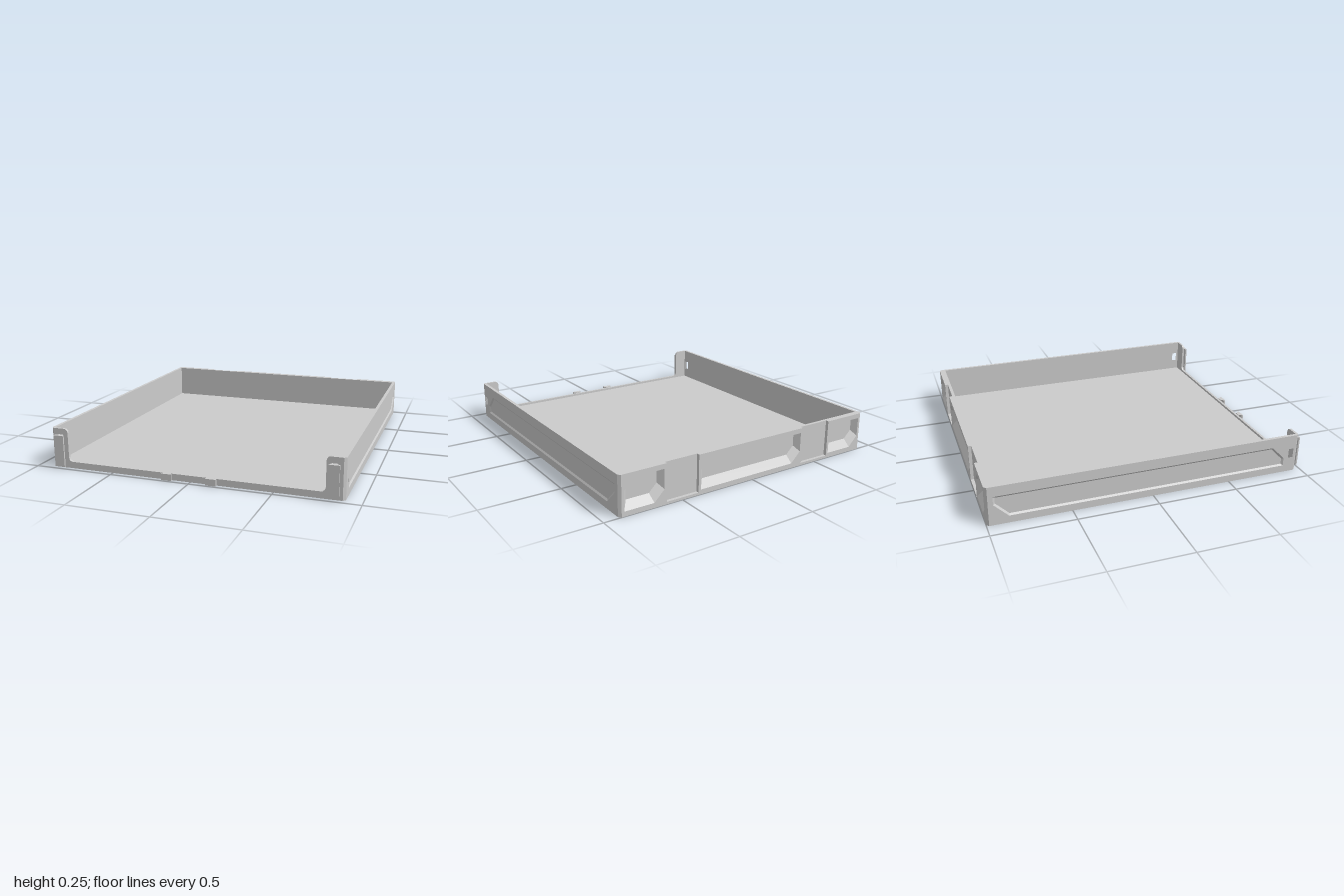
import * as THREE from 'three';

const W = 0.905, H = 0.245, C = 0.015;   // half width, wall height, corner chamfer
const BACK = -1, FRONT = 0.97;

export function createModel() {
  const group = new THREE.Group();
  const mat = new THREE.MeshStandardMaterial({ color: 0xcccccc, flatShading: true });
  const thin = new THREE.MeshStandardMaterial({ color: 0xcccccc, flatShading: true, side: THREE.DoubleSide });

  const add = (name, geo, material = mat) => {
    const mesh = new THREE.Mesh(geo, material);
    mesh.name = name;
    group.add(mesh);
  };

  // Outlines are (z, y) for axis x, (x, z) for axis y and (x, y) for axis z
  const flat = (pts, axis) => pts.map(([a, b]) =>
    new THREE.Vector2(axis === 'x' ? -a : a, axis === 'y' ? -b : b));
  const orient = (geo, axis) => {
    if (axis === 'x') geo.rotateY(Math.PI / 2);
    if (axis === 'y') geo.rotateX(-Math.PI / 2);
    return geo;
  };

  // Plate with holes, running from `from` to `to` along an axis
  const slab = (name, pts, axis, from, to, holes = []) => {
    const shape = new THREE.Shape(flat(pts, axis));
    holes.forEach(h => shape.holes.push(new THREE.Path(flat(h, axis))));
    const lo = Math.min(from, to);
    const geo = new THREE.ExtrudeGeometry(shape, { depth: Math.abs(to - from), bevelEnabled: false });
    geo.translate(0, 0, lo);
    add(name, orient(geo, axis));
  };

  // Sloping band between two outlines at different depths
  const band = (name, outer, inner, axis, d0, d1) => {
    const o = flat(outer, axis), n = flat(inner, axis), pos = [];
    o.forEach((p, i) => {
      const j = (i + 1) % o.length, q = o[j], r = n[j], s = n[i];
      pos.push(p.x, p.y, d0, q.x, q.y, d0, r.x, r.y, d1);
      pos.push(p.x, p.y, d0, r.x, r.y, d1, s.x, s.y, d1);
    });
    const geo = new THREE.BufferGeometry();
    geo.setAttribute('position', new THREE.Float32BufferAttribute(pos, 3));
    geo.computeVertexNormals();
    add(name, orient(geo, axis), thin);
  };

  const rect = (a0, a1, b0, b1) => [[a0, b0], [a1, b0], [a1, b1], [a0, b1]];
  // Rectangle with two opposite corners cut
  const cutRect = (a0, a1, b0, b1, c) =>
    [[a0, b0 + c], [a0 + c, b0], [a1, b0], [a1, b1 - c], [a1 - c, b1], [a0, b1]];

  // Floor
  slab('floor', rect(-0.885, 0.885, -0.96, 0.955), 'y', 0, 0.025);

  // Side walls with a shallow sunk panel and a latch hole
  const wall = rect(BACK + C, FRONT - C, 0, H);
  const latch = rect(0.907, 0.945, 0.09, 0.155);
  const panel = cutRect(-0.955, 0.875, 0.045, 0.182, 0.085);
  const panelInner = cutRect(-0.943, 0.863, 0.056, 0.171, 0.078);
  for (const s of [-1, 1]) {
    slab('sideWallOuter', wall, 'x', s * 0.897, s * W, [latch, panel]);
    slab('sideWallInner', wall, 'x', s * 0.885, s * 0.897, [latch]);
    band('sidePanelBevel', panel, panelInner, 'x', s * W, s * 0.897);
    // Chamfered corner fillers
    for (const [z, dir] of [[BACK, 1], [FRONT, -1]]) {
      slab('cornerChamfer', [[s * (W - C), z], [s * W, z + dir * C], [s * (W - C), z + dir * C]], 'y', 0, H);
    }
  }

  // Back wall: three sunk pockets and two slots open at the top
  const x = W - C;
  const pockets = [[-0.875, -0.62], [-0.375, 0.375], [0.62, 0.875]];
  const outlines = pockets.map(([a, b]) => cutRect(a, b, 0.03, 0.215, 0.065));
  const slotted = [[-x, 0], [x, 0], [x, H]];
  for (const [a, b] of [[0.605, 0.39], [-0.39, -0.605]]) {
    slotted.push([a, H], [a, 0.015], [b, 0.015], [b, H]);
  }
  slotted.push([-x, H]);
  slab('backWallOuter', slotted, 'z', BACK, -0.98, outlines);
  slab('backWallMiddle', rect(-x, x, 0, H), 'z', -0.98, -0.967, outlines);
  slab('backWallInner', rect(-x, x, 0, H), 'z', -0.967, -0.96);
  pockets.forEach(([a, b], i) => {
    const inner = cutRect(a + 0.03, b - 0.03, 0.08, 0.198, 0.05);
    band('backPocketSlope', outlines[i], inner, 'z', BACK, -0.967);
  });

  // Front wall with a wide opening, rounded at its corners
  const edge = [[0.89, H], [0.82, H]];
  for (let i = 0; i <= 4; i++) {
    const t = i / 4 * Math.PI / 2;
    edge.push([0.82 - 0.025 * Math.sin(t), H - 0.025 + 0.025 * Math.cos(t)]);
  }
  for (let i = 0; i <= 4; i++) {
    const t = i / 4 * Math.PI / 2;
    edge.push([0.77 + 0.025 * Math.cos(t), 0.065 - 0.025 * Math.sin(t)]);
  }
  const mirrored = edge.map(([a, b]) => [-a, b]).reverse();
  slab('frontWall', [[-0.89, 0], [0.89, 0], ...edge, ...mirrored], 'z', 0.955, FRONT);

  // Dovetail tabs on the front
  const tab = (name, cx, y0, y1) => slab(name, [
    [cx - 0.016, FRONT], [cx - 0.016, 0.976], [cx - 0.032, 0.99], [cx - 0.032, 1],
    [cx + 0.032, 1], [cx + 0.032, 0.99], [cx + 0.016, 0.976], [cx + 0.016, FRONT],
  ], 'y', y0, y1);
  for (const s of [-1, 1]) {
    tab('frontSideTab', s * 0.842, 0.012, 0.208);
    tab('frontMiddleTab', s * 0.138, 0.005, 0.045);
  }
  return group;
}
